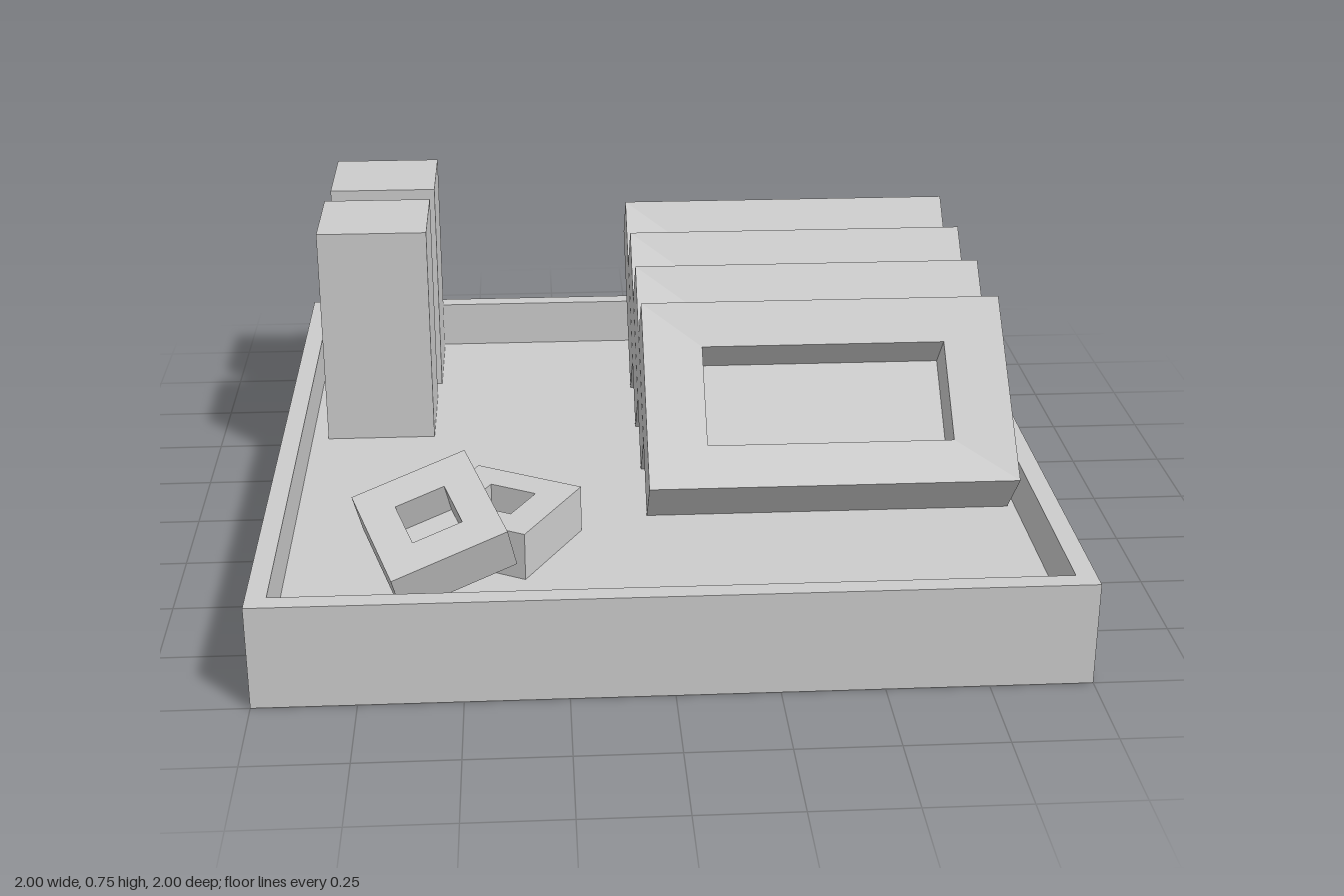
import * as THREE from 'three';

const FLOOR = 0.133, RIM = 0.265;
const material = new THREE.MeshStandardMaterial({ color: 0xcccccc, flatShading: true });
const sheetMaterial = new THREE.MeshStandardMaterial({ color: 0xcccccc, flatShading: true, side: THREE.DoubleSide });

function addMesh(parent, name, geometry, mat = material) {
  const mesh = new THREE.Mesh(geometry, mat);
  mesh.name = name;
  parent.add(mesh);
  return mesh;
}

function rectangle(PathType, w, h) {
  const x = w / 2, y = h / 2;
  return new PathType([[-x, -y], [x, -y], [x, y], [-x, y]].map(p => new THREE.Vector2(...p)));
}

// Block with a rectangular recess; the front face is centred on the origin and faces +z.
// dish sinks the edge of the recess slightly below the outer edge.
function recessedBlock(name, w, h, thickness, holeW, holeH, depth, dish = 0) {
  const group = new THREE.Group();
  group.name = name;
  const shape = rectangle(THREE.Shape, w, h);
  shape.holes.push(rectangle(THREE.Path, holeW, holeH));
  const frame = new THREE.ExtrudeGeometry(shape, { depth, bevelEnabled: false });
  frame.translate(0, 0, -depth);
  const p = frame.attributes.position;
  for (let i = 0; i < p.count; i++) {
    const inner = Math.abs(p.getX(i)) < w / 2 - 0.01 && Math.abs(p.getY(i)) < h / 2 - 0.01;
    if (inner && p.getZ(i) > -0.001) p.setZ(i, -dish);
  }
  frame.computeVertexNormals();
  addMesh(group, name + 'Frame', frame);
  const back = thickness - depth;
  addMesh(group, name + 'Back', new THREE.BoxGeometry(w, h, back)).position.z = -depth - back / 2;
  return group;
}

// Aim a block's front along normal, with its width along the given axis
function orient(object, position, axis, normal) {
  const z = new THREE.Vector3(...normal).normalize();
  const y = z.clone().cross(new THREE.Vector3(...axis)).normalize();
  const x = y.clone().cross(z);
  object.quaternion.setFromRotationMatrix(new THREE.Matrix4().makeBasis(x, y, z));
  object.position.set(...position);
}

export function createModel() {
  const model = new THREE.Group();
  model.name = 'trayWithBlocks';

  // Square tray: outer wall, rim, inner wall and raised floor, open underneath
  const profile = [[1, 0], [1, RIM], [0.95, RIM], [0.95, FLOOR], [0, FLOOR]]
    .map(([r, y]) => new THREE.Vector2(r * Math.SQRT2, y));
  const tray = new THREE.LatheGeometry(profile, 4, Math.PI / 4).toNonIndexed();
  tray.computeVertexNormals();
  addMesh(model, 'tray', tray, sheetMaterial);

  // Row of four leaning slabs
  for (let i = 0; i < 4; i++) {
    const slab = recessedBlock('leaningSlab', 0.96, 0.533, 0.186, 0.645, 0.283, 0.135, 0.015);
    slab.rotation.x = -THREE.MathUtils.degToRad(47);
    slab.position.set(0.45, 0.449, 0.235 - i * 0.29);
    model.add(slab);
  }

  // Two upright blocks
  const height = 0.745 - FLOOR;
  for (const [x, z] of [[-0.745, -0.777], [-0.755, -0.388]]) {
    addMesh(model, 'uprightBlock', new THREE.BoxGeometry(0.3, height, 0.297))
      .position.set(x, FLOOR + height / 2, z);
  }

  // Two small recessed tiles, one flat and one resting on it
  const flatTile = recessedBlock('flatTile', 0.303, 0.303, 0.125, 0.13, 0.13, 0.09);
  orient(flatTile, [-0.41, FLOOR + 0.125, 0.44], [0.875, 0, 0.484], [0, 1, 0]);
  const tiltedTile = recessedBlock('tiltedTile', 0.303, 0.303, 0.125, 0.13, 0.13, 0.09);
  orient(tiltedTile, [-0.583, 0.327, 0.66], [0.924, 0.281, -0.264], [-0.162, 0.906, 0.394]);
  model.add(flatTile, tiltedTile);

  return model;
}
